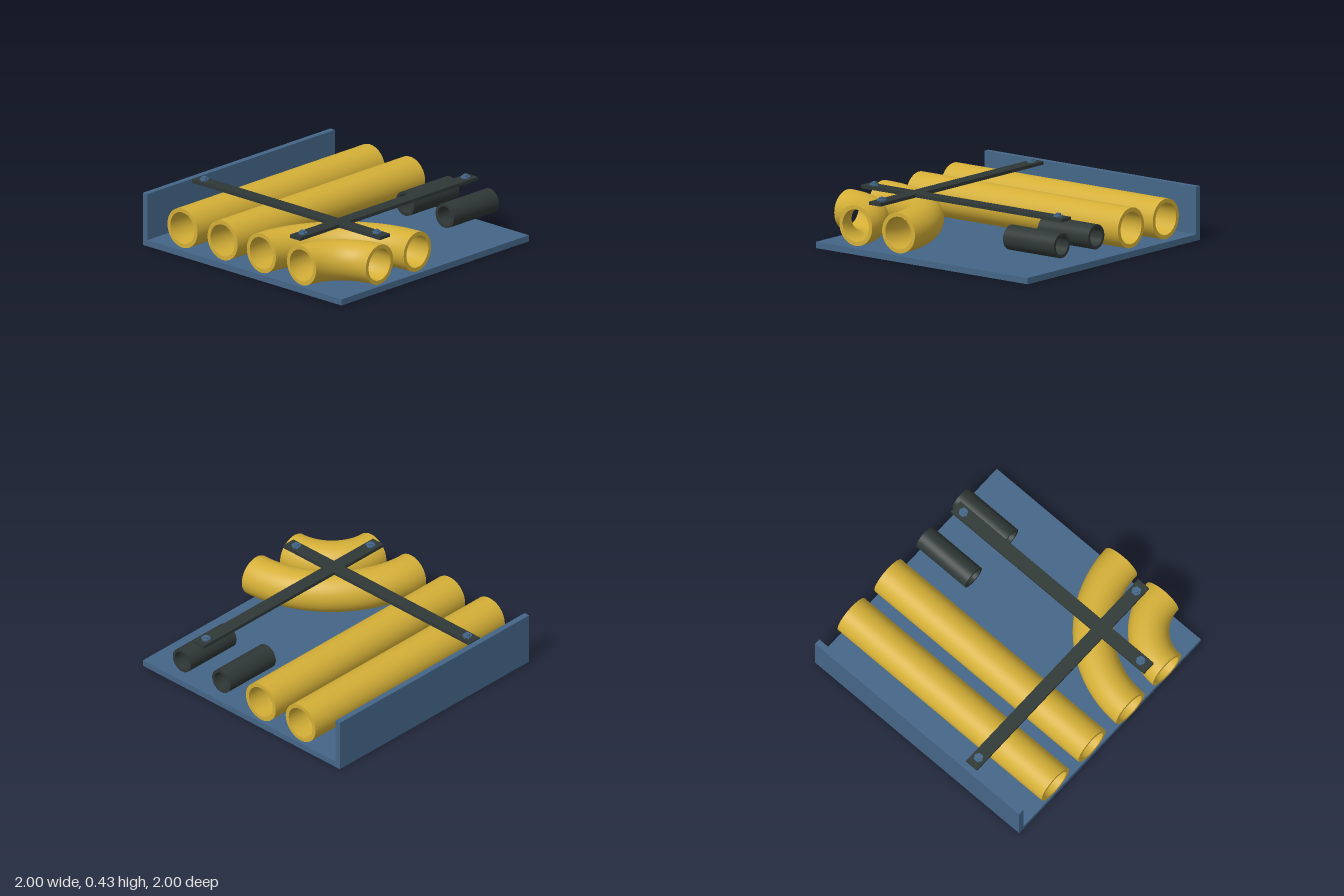
import * as THREE from 'three';

export function createModel() {
  const group = new THREE.Group();
  const mat = (name, color, side = THREE.FrontSide) => {
    const m = new THREE.MeshStandardMaterial({ color, side });
    m.name = name;
    return m;
  };
  const blue = mat('steelBlue', 0x446688);
  const yellow = mat('pipeYellow', 0xd4af37, THREE.DoubleSide);
  const dark = mat('charcoal', 0x2f3836, THREE.DoubleSide);

  const add = (parent, name, geometry, material, x = 0, y = 0, z = 0) => {
    const mesh = new THREE.Mesh(geometry, material);
    mesh.name = name;
    mesh.position.set(x, y, z);
    parent.add(mesh);
    return mesh;
  };
  // Box given by its lowest and highest corners
  const box = (name, material, [x0, y0, z0], [x1, y1, z1]) =>
    add(group, name, new THREE.BoxGeometry(x1 - x0, y1 - y0, z1 - z0), material,
      (x0 + x1) / 2, (y0 + y1) / 2, (z0 + z1) / 2);

  // Hollow pipe along a curve: outer skin, bore and two end rims
  const pipe = (name, curve, outer, inner, material, segments) => {
    const g = new THREE.Group();
    g.name = name;
    group.add(g);
    add(g, 'outerSkin', new THREE.TubeGeometry(curve, segments, outer, 48), material);
    add(g, 'bore', new THREE.TubeGeometry(curve, segments, inner, 48), material);
    for (const t of [0, 1]) {
      const p = curve.getPointAt(t);
      const out = curve.getTangentAt(t).multiplyScalar(t ? 1 : -1);
      add(g, 'endRim', new THREE.RingGeometry(inner, outer, 48), material, p.x, p.y, p.z)
        .lookAt(p.clone().add(out));
    }
  };

  // Tray: floor and side wall
  box('floorPlate', blue, [-1, 0, -1], [0.98, 0.047, 0.98]);
  box('sideWall', blue, [-1, 0.047, -1], [-0.955, 0.4, 0.98]);

  // Straight pipes
  const y = 0.221;
  const line = (x, z0, z1) =>
    new THREE.LineCurve3(new THREE.Vector3(x, y, z0), new THREE.Vector3(x, y, z1));
  for (const x of [-0.606, -0.206]) pipe('longPipe', line(x, -1, 0.98), 0.15, 0.12, yellow, 1);
  for (const x of [0.192, 0.588]) pipe('shortPipe', line(x, -1, -0.525), 0.092, 0.07, dark, 1);

  // Concentric quarter bends
  const c = 0.995;
  for (const r of [0.8, 0.4]) {
    const points = [];
    for (let i = 0; i <= 24; i++) {
      const a = (i / 24) * Math.PI / 2;
      points.push(new THREE.Vector3(c - r * Math.cos(a), y, c - r * Math.sin(a)));
    }
    pipe('pipeBend', new THREE.CatmullRomCurve3(points), 0.15, 0.12, yellow, 48);
  }

  // Crossed clamping bars
  box('crossBar', dark, [-0.945, 0.375, 0.417], [0.93, 0.4, 0.522]);
  box('lengthBar', dark, [0.417, 0.375, -0.945], [0.522, 0.4, 0.93]);

  // Bolts at the bar ends
  for (const [x, z] of [[-0.87, 0.47], [0.85, 0.47], [0.47, -0.87], [0.47, 0.85]]) {
    const bolt = new THREE.Group();
    bolt.name = 'bolt';
    bolt.position.set(x, 0.4, z);
    group.add(bolt);
    add(bolt, 'hexNut', new THREE.CylinderGeometry(0.036, 0.036, 0.012, 6).toNonIndexed(), blue, 0, 0.006, 0)
      .geometry.computeVertexNormals();
    add(bolt, 'stud', new THREE.CylinderGeometry(0.019, 0.019, 0.025, 16), blue, 0, 0.0125, 0);
  }
  return group;
}
